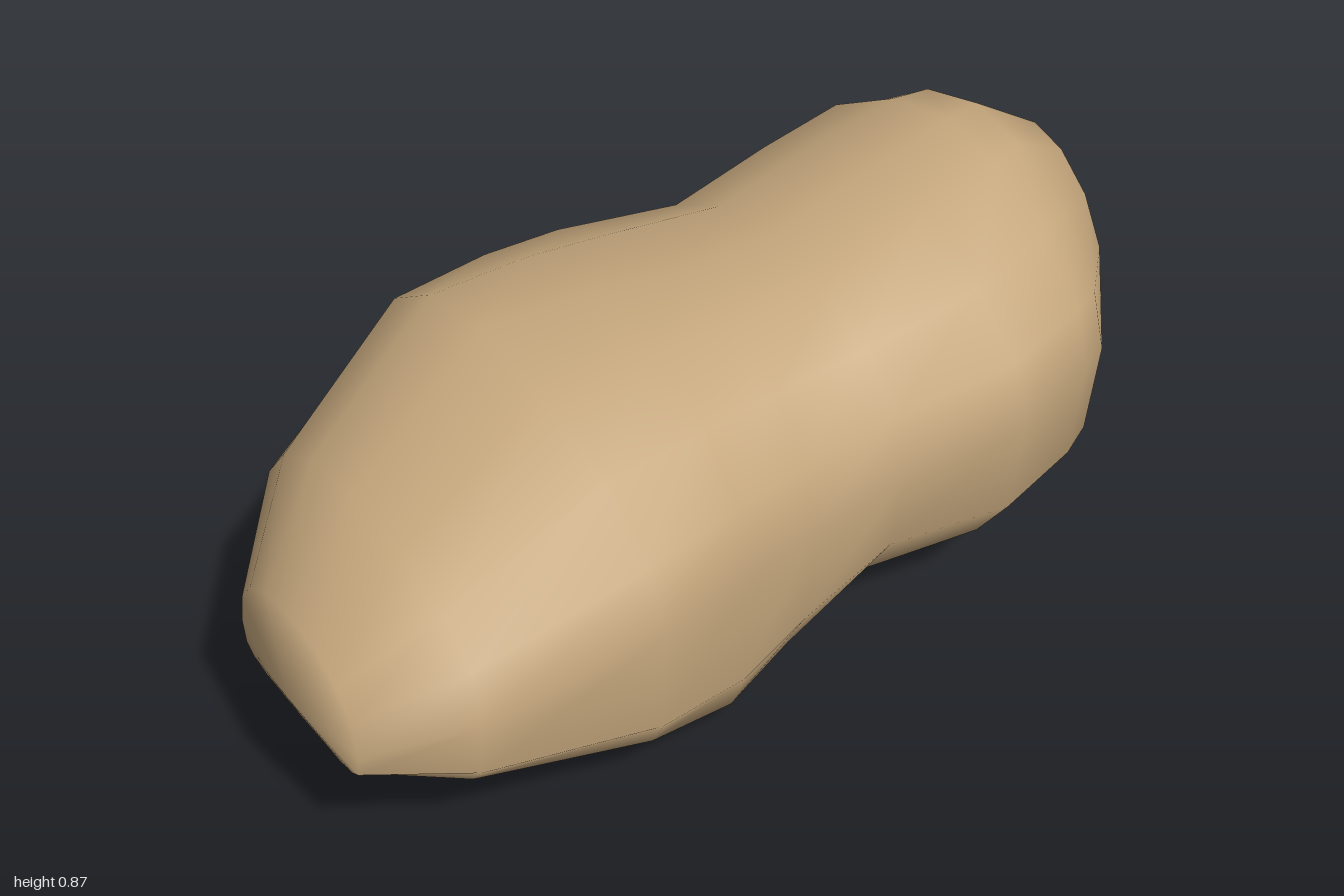
import * as THREE from 'three';

// Cross-sections from back to front: z, the (x, y) of the left-hand, right-hand,
// top and bottom extremes, then the curve exponents of the upper right, upper left,
// lower left and lower right corners (small is square, 1 is round, large is cut off)
const RINGS = [
  [-0.98, -0.16, 0.47, 0.14, 0.48, 0.05, 0.58, 0.0, 0.36, 1, 1, 1, 1],
  [-0.88, -0.28, 0.47, 0.27, 0.50, 0.03, 0.79, 0.0, 0.19, 1.1, 1.1, 0.9, 0.9],
  [-0.73, -0.44, 0.47, 0.43, 0.51, 0.01, 0.875, 0.0, 0.10, 1.2, 1.15, 0.8, 0.7],
  [-0.65, -0.51, 0.47, 0.47, 0.52, 0.02, 0.87, 0.0, 0.10, 1.2, 1.15, 0.75, 0.65],
  [-0.43, -0.46, 0.46, 0.54, 0.53, 0.05, 0.85, 0.0, 0.10, 1.15, 1.1, 0.6, 0.65],
  [-0.19, -0.41, 0.45, 0.47, 0.45, 0.05, 0.78, 0.05, 0.065, 1, 1, 0.9, 0.8],
  [0.03, -0.555, 0.36, 0.475, 0.42, 0.04, 0.77, 0.12, 0.03, 1, 1, 1.15, 0.6],
  [0.2, -0.54, 0.35, 0.51, 0.43, 0.0, 0.765, 0.17, 0.003, 1, 0.95, 1.15, 0.5],
  [0.42, -0.50, 0.33, 0.555, 0.43, -0.03, 0.76, 0.2, 0.095, 1.05, 0.95, 1.1, 0.4],
  [0.78, -0.27, 0.34, 0.52, 0.38, 0.1, 0.62, 0.24, 0.19, 0.95, 0.95, 0.9, 0.5],
  [0.97, -0.01, 0.34, 0.42, 0.33, 0.2, 0.50, 0.2, 0.265, 0.9, 0.9, 0.5, 0.45],
];
const SIDES = 16;

// Point on a ring made of four quarter-curves joining its extremes
function ringPoint([z, xl, yl, xr, yr, xt, yt, xb, yb, ...corners], j) {
  const angle = (j / SIDES) * Math.PI * 2;
  const c = Math.cos(angle), s = Math.sin(angle);
  const [sx, sy] = c >= 0 ? [xr, yr] : [xl, yl];
  const [vx, vy] = s >= 0 ? [xt, yt] : [xb, yb];
  const p = corners[Math.floor((j * 4) / SIDES)];
  // at the four extremes one term is zero, whichever corner is used
  const across = j % (SIDES / 2) === SIDES / 4 ? 0 : Math.abs(c) ** p;
  const along = j % (SIDES / 2) === 0 ? 0 : Math.abs(s) ** p;
  return [vx + (sx - vx) * across, sy + (vy - sy) * along, z];
}

function bodyGeometry() {
  const positions = [], index = [];
  for (const ring of RINGS)
    for (let j = 0; j < SIDES; j++) positions.push(...ringPoint(ring, j));

  // skin between neighbouring rings
  for (let i = 0; i < RINGS.length - 1; i++)
    for (let j = 0; j < SIDES; j++) {
      const k = (j + 1) % SIDES;
      const a = i * SIDES + j, b = i * SIDES + k;
      const c = a + SIDES, d = b + SIDES;
      index.push(a, b, c, b, d, c);
    }

  // slightly domed ends
  const last = (RINGS.length - 1) * SIDES;
  const tail = positions.length / 3, nose = tail + 1;
  positions.push(0.07, 0.47, -1, 0.22, 0.34, 1);
  for (let j = 0; j < SIDES; j++) {
    const k = (j + 1) % SIDES;
    index.push(tail, k, j, nose, last + j, last + k);
  }

  const geometry = new THREE.BufferGeometry();
  geometry.setAttribute('position', new THREE.Float32BufferAttribute(positions, 3));
  geometry.setIndex(index);
  geometry.computeVertexNormals();
  return geometry;
}

export function createModel() {
  const tan = new THREE.MeshStandardMaterial({ color: 0xc4a67c });
  tan.name = 'tan';

  const group = new THREE.Group();
  group.name = 'rock';
  const body = new THREE.Mesh(bodyGeometry(), tan);
  body.name = 'twoLobedBody';
  group.add(body);
  return group;
}
